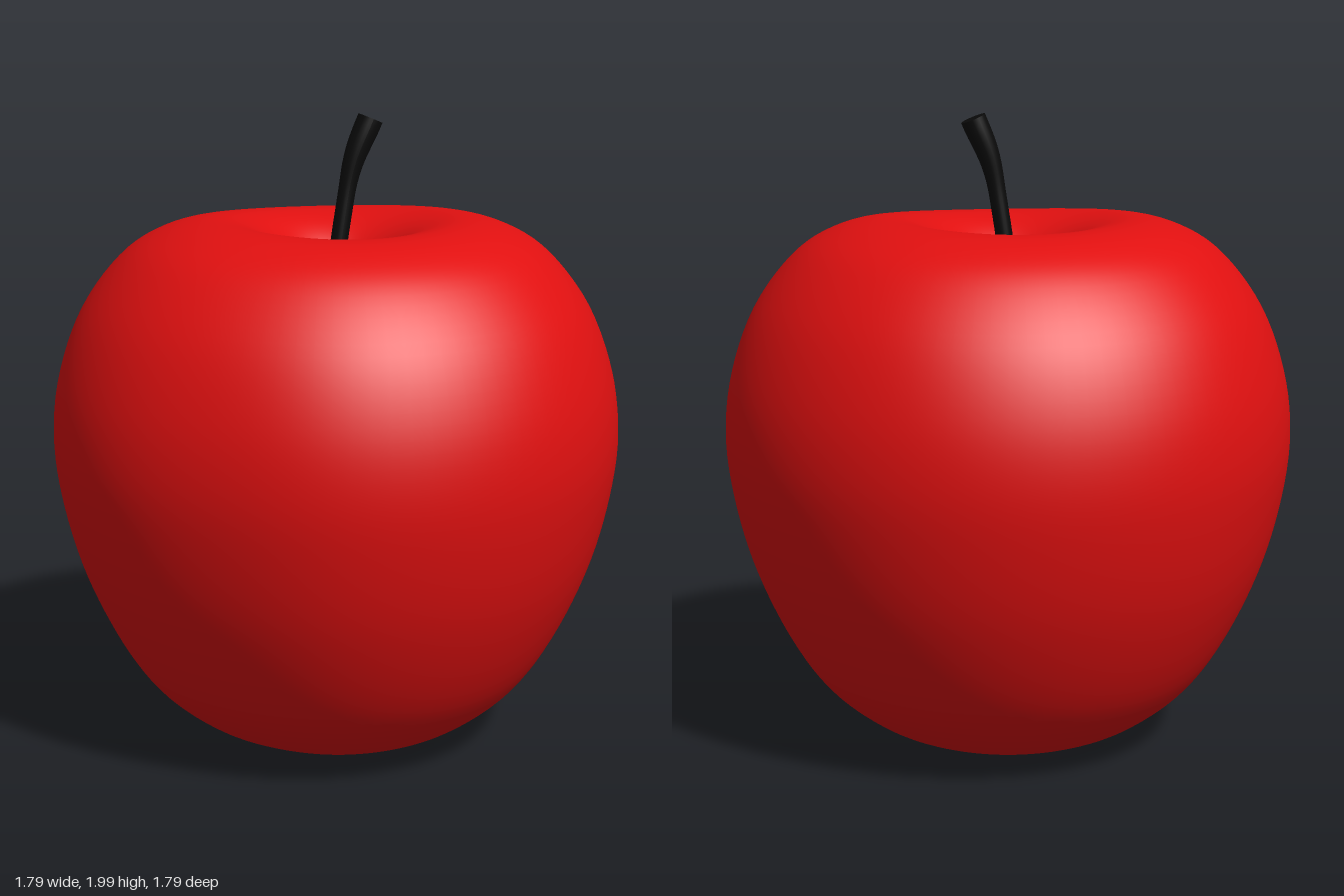
import * as THREE from 'three';
import { mergeVertices } from 'three/addons/utils/BufferGeometryUtils.js';

const v2 = (x, y) => new THREE.Vector2(x, y);

// Lathed body, dimpled at both ends and made slightly uneven
function createBody() {
  const profile = new THREE.SplineCurve([
    v2(0, 0.17), v2(0.05, 0.14), v2(0.1, 0.07), v2(0.17, 0.022), v2(0.25, 0.008),
    v2(0.33, 0.025), v2(0.46, 0.085), v2(0.6, 0.2), v2(0.71, 0.36), v2(0.81, 0.58),
    v2(0.87, 0.8), v2(0.893, 1.0), v2(0.87, 1.2), v2(0.795, 1.4), v2(0.67, 1.56),
    v2(0.54, 1.64), v2(0.4, 1.67), v2(0.28, 1.648), v2(0.18, 1.59), v2(0.1, 1.5),
    v2(0.04, 1.42), v2(0, 1.4),
  ]);
  const points = profile.getPoints(110);
  points[0].x = points[points.length - 1].x = 0;
  let geo = new THREE.LatheGeometry(points, 96);
  const pos = geo.attributes.position;
  for (let i = 0; i < pos.count; i++) {
    const x = pos.getX(i), y = pos.getY(i), z = pos.getZ(i);
    const a = Math.atan2(z, x);
    const r = Math.hypot(x, z);
    // Gentle flattening on the front-left quarter, rim higher at the sides
    const d = Math.atan2(Math.sin(a - 2.25), Math.cos(a - 2.25));
    const s = 1 - 0.02 * Math.exp(-d * d * 8) * Math.min(1, r / 0.6);
    const lift = 0.009 * Math.cos(2 * a) * Math.min(1, r / 0.4) * THREE.MathUtils.smoothstep(y, 1.2, 1.65);
    pos.setXYZ(i, x * s, y + lift, z * s);
  }
  geo.deleteAttribute('uv');
  geo.deleteAttribute('normal');
  geo = mergeVertices(geo, 1e-4);
  geo.computeVertexNormals();
  return geo;
}

// Cylinder bent along a curve, flaring towards its tip
function createStem() {
  const path = new THREE.CatmullRomCurve3([
    new THREE.Vector3(-0.012, 1.37, 0), new THREE.Vector3(0.0, 1.52, 0),
    new THREE.Vector3(0.022, 1.68, 0), new THREE.Vector3(0.055, 1.85, 0),
    new THREE.Vector3(0.11, 1.983, 0),
  ]);
  const geo = new THREE.CylinderGeometry(1, 1, 1, 24, 24);
  const pos = geo.attributes.position;
  for (let i = 0; i < pos.count; i++) {
    const t = THREE.MathUtils.clamp(pos.getY(i) + 0.5, 0, 1);
    const c = path.getPointAt(t), dir = path.getTangentAt(t);
    const r = 0.027 + 0.013 * THREE.MathUtils.smoothstep(t, 0.6, 0.97);
    const x = pos.getX(i) * r;
    pos.setXYZ(i, c.x + dir.y * x, c.y - dir.x * x, pos.getZ(i) * r);
  }
  geo.computeVertexNormals();
  return geo;
}

export function createModel() {
  const group = new THREE.Group();
  group.name = 'apple';
  const add = (name, geo, color) => {
    const mesh = new THREE.Mesh(geo, new THREE.MeshStandardMaterial({ color }));
    mesh.name = name;
    group.add(mesh);
  };
  add('body', createBody(), 0xe01010);
  add('stem', createStem(), 0x0a0a0a);
  return group;
}
